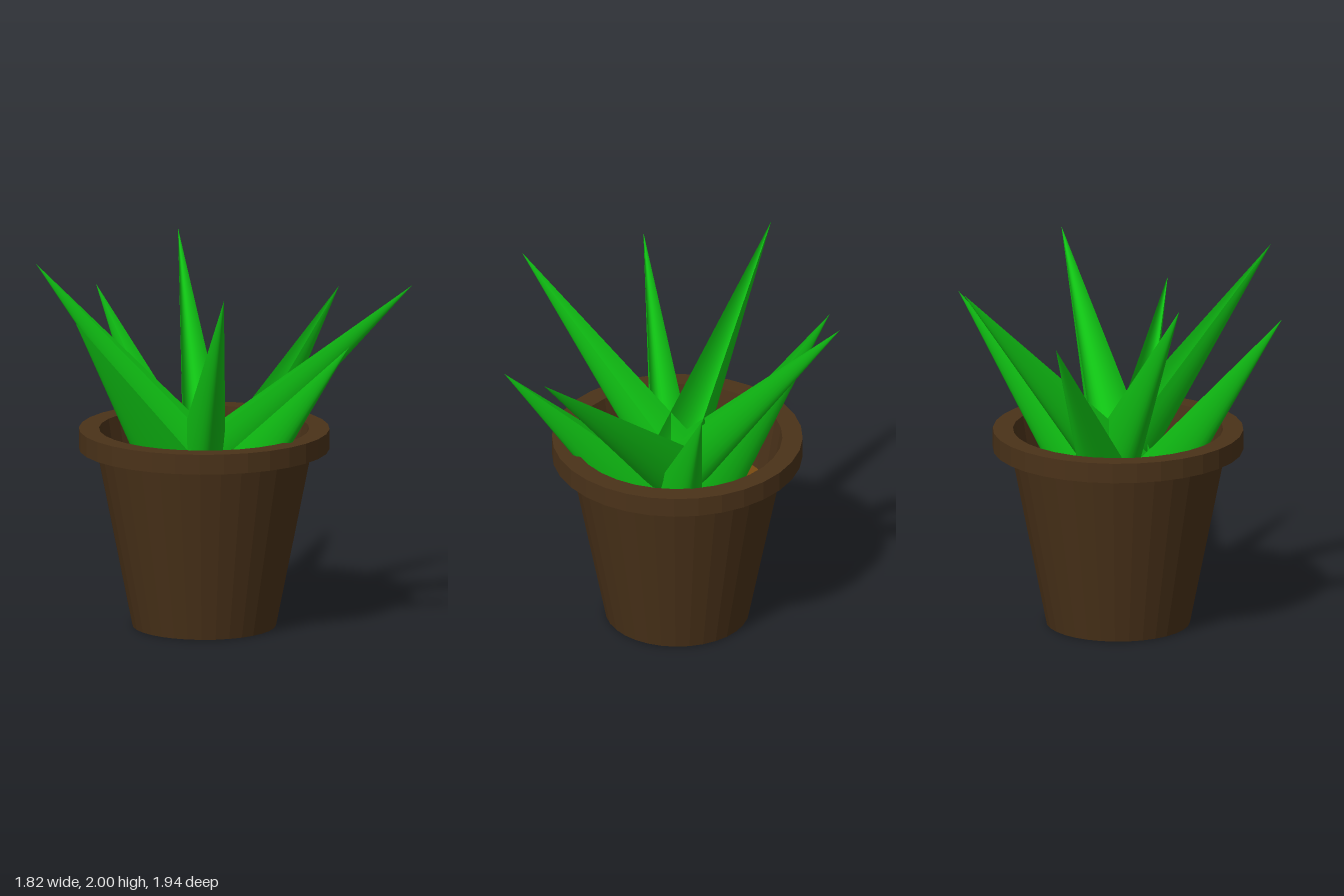
import * as THREE from 'three';

const POT_X = -0.07;

const brown = new THREE.MeshStandardMaterial({ color: 0x4a3219, flatShading: true });
const soilBrown = new THREE.MeshStandardMaterial({ color: 0x7a4a10 });
const green = new THREE.MeshStandardMaterial({ color: 0x10c414, side: THREE.DoubleSide });

function add(group, name, geometry, material) {
  const mesh = new THREE.Mesh(geometry, material);
  mesh.name = name;
  group.add(mesh);
  return mesh;
}

// A straight channel-shaped leaf: a U section shrinking from the base to a sharp tip.
// edge and keel are [distance outward, height] of the section's rims and its underside.
function leafGeometry(tip, edge, keel, halfWidth) {
  const rows = 10, cols = 16;
  const out = new THREE.Vector3(tip.x - POT_X, 0, tip.z).normalize();
  const side = new THREE.Vector3(out.z, 0, -out.x);
  const positions = [], indices = [];
  for (let i = 0; i <= rows; i++) {
    for (let j = 0; j <= cols; j++) {
      const a = (j / cols) * Math.PI;
      const depth = Math.sin(a);
      const p = new THREE.Vector3(POT_X, THREE.MathUtils.lerp(edge[1], keel[1], depth), 0)
        .addScaledVector(out, THREE.MathUtils.lerp(edge[0], keel[0], depth))
        .addScaledVector(side, halfWidth * Math.cos(a))
        .lerp(tip, i / rows);
      positions.push(p.x, p.y, p.z);
      if (i < rows && j < cols) {
        const k = i * (cols + 1) + j, up = k + cols + 1;
        indices.push(k, up, k + 1, up, up + 1, k + 1);
      }
    }
  }
  const geometry = new THREE.BufferGeometry();
  geometry.setAttribute('position', new THREE.Float32BufferAttribute(positions, 3));
  geometry.setIndex(indices);
  geometry.computeVertexNormals();
  return geometry;
}

export function createModel() {
  const model = new THREE.Group();
  model.name = 'pottedPlant';

  // Tapered pot with a projecting rim and a hollow top
  const profile = [
    [0, 0], [0.39, 0], [0.585, 0.98], [0.68, 0.98], [0.68, 1.09],
    [0.57, 1.09], [0.505, 0.7],
  ].map(([r, y]) => new THREE.Vector2(r, y));
  add(model, 'pot', new THREE.LatheGeometry(profile, 32), brown).position.x = POT_X;

  // Soil
  const soil = add(model, 'soil', new THREE.CircleGeometry(0.512, 32), soilBrown);
  soil.rotation.x = -Math.PI / 2;
  soil.position.set(POT_X, 0.735, 0);

  const leaves = new THREE.Group();
  leaves.name = 'leaves';
  model.add(leaves);

  // Outer leaves, leaning low
  [
    ['backLeaf', -0.04, 1.74, -0.97],
    ['frontLeaf', -0.05, 1.82, 0.97],
    ['leftLeaf', 0.91, 1.67, -0.16],
    ['rightLeaf', -0.91, 1.76, 0.02],
  ].forEach(([name, x, y, z]) => add(leaves, name,
    leafGeometry(new THREE.Vector3(x, y, z), [0.02, 0.8], [0.31, 0.66], 0.125), green));

  // Inner leaves, standing taller
  [
    ['backLeftLeaf', 0.79, 1.91, -0.74, 0.16],
    ['backRightLeaf', -0.87, 1.99, -0.55, 0.13],
    ['frontLeftLeaf', 0.69, 2.0, 0.56, 0.13],
    ['frontRightLeaf', -0.7, 2.0, 0.66, 0.13],
  ].forEach(([name, x, y, z, w]) => add(leaves, name,
    leafGeometry(new THREE.Vector3(x, y, z), [-0.13, 0.95], [0.06, 0.7], w), green));

  return model;
}
